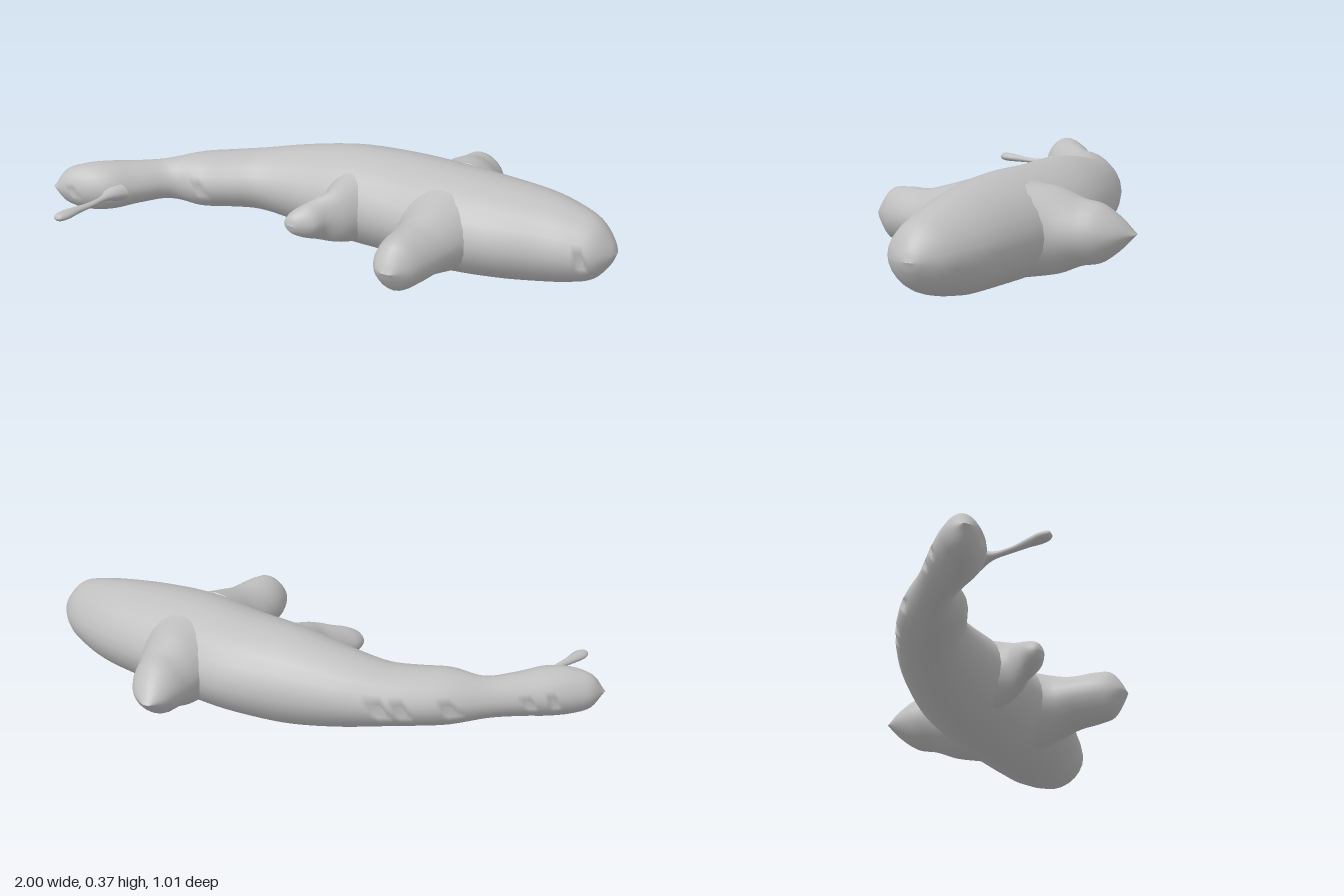
import * as THREE from 'three';

const MID = 0.186; // height of the horizontal symmetry plane
const SIDES = 24;

// Smooth closed loft. Each section is [x1, z1, x2, z2, halfHeight]: its two edges and its half height.
// Dents [x, z] pull the nearest edge vertex inwards.
function loft(name, sections, rings, material, dents = []) {
  const spline = (f) => new THREE.CatmullRomCurve3(sections.map(f), false, 'centripetal');
  const edgeA = spline(([x, z, , , h]) => new THREE.Vector3(x, h, z));
  const edgeB = spline(([, , x, z, h]) => new THREE.Vector3(x, h, z));
  const power = (v) => Math.sign(v) * Math.abs(v) ** 1.1;
  const points = [];
  const index = [];
  for (let i = 0; i <= rings; i++) {
    const a = edgeA.getPoint(i / rings);
    const b = edgeB.getPoint(i / rings);
    const h = Math.max(0, (a.y + b.y) / 2);
    for (let j = 0; j < SIDES; j++) {
      const t = (j / SIDES) * Math.PI * 2;
      const c = power(Math.cos(t));
      points.push(new THREE.Vector3(
        (a.x + b.x) / 2 + ((a.x - b.x) / 2) * c,
        MID + h * power(Math.sin(t)),
        (a.z + b.z) / 2 + ((a.z - b.z) / 2) * c));
      if (i === rings) continue;
      const k = i * SIDES + j;
      const n = i * SIDES + ((j + 1) % SIDES);
      index.push(k, k + SIDES, n, n, k + SIDES, n + SIDES);
    }
  }
  for (const [x, z] of dents) {
    const target = new THREE.Vector3(x, MID, z);
    let best = 0;
    points.forEach((p, k) => {
      if (p.distanceTo(target) < points[best].distanceTo(target)) best = k;
    });
    const ring = Math.floor(best / SIDES) * SIDES;
    const opposite = ring + ((best - ring + SIDES / 2) % SIDES);
    points[best].lerp(points[opposite], 0.2);
  }
  const geometry = new THREE.BufferGeometry().setFromPoints(points);
  geometry.setIndex(index);
  geometry.computeVertexNormals();
  const mesh = new THREE.Mesh(geometry, material);
  mesh.name = name;
  return mesh;
}

export function createModel() {
  const grey = new THREE.MeshStandardMaterial({ color: 0xbfbfbf });
  grey.name = 'plain grey';
  const group = new THREE.Group();
  group.name = 'fish';

  // Curved body, from the snout to the tail end
  const body = [
    [1.0, -0.02, 1.0, 0.0, 0],
    [0.985, -0.055, 0.985, 0.035, 0.04],
    [0.93, -0.12, 0.93, 0.095, 0.105],
    [0.85, -0.17, 0.85, 0.117, 0.135],
    [0.75, -0.21, 0.75, 0.13, 0.157],
    [0.6, -0.245, 0.6, 0.155, 0.173],
    [0.4, -0.28, 0.4, 0.16, 0.184],
    [0.2, -0.305, 0.22, 0.12, 0.18],
    [0.0, -0.29, 0.02, 0.085, 0.174],
    [-0.2, -0.25, -0.17, 0.052, 0.142],
    [-0.36, -0.197, -0.31, 0.045, 0.113],
    [-0.47, -0.148, -0.4, 0.075, 0.105],
    [-0.57, -0.09, -0.5, 0.11, 0.1],
    [-0.7, 0.01, -0.6, 0.11, 0.076],
    [-0.8, 0.075, -0.69, 0.185, 0.08],
    [-0.87, 0.12, -0.77, 0.262, 0.09],
    [-0.935, 0.17, -0.85, 0.295, 0.085],
    [-0.975, 0.21, -0.94, 0.3, 0.06],
    [-1.0, 0.275, -0.985, 0.29, 0],
  ];
  group.add(loft('body', body, 90, grey, [
    [0.9, 0.105], [-0.36, -0.197], [-0.42, -0.17], [-0.57, -0.09],
    [-0.8, 0.075], [-0.87, 0.12], [-0.5, 0.11], [-0.9, 0.3],
  ]));

  // Large paired side fins
  group.add(loft('rightSideFin', [
    [0.6, -0.16, 0.22, -0.16, 0.16],
    [0.535, -0.25, 0.265, -0.27, 0.143],
    [0.505, -0.33, 0.283, -0.34, 0.112],
    [0.48, -0.4, 0.295, -0.4, 0.098],
    [0.44, -0.46, 0.315, -0.46, 0.055],
    [0.375, -0.51, 0.35, -0.51, 0],
  ], 24, grey));
  group.add(loft('leftSideFin', [
    [0.23, 0.06, 0.58, 0.06, 0.15],
    [0.275, 0.15, 0.52, 0.16, 0.12],
    [0.272, 0.23, 0.49, 0.23, 0.1],
    [0.268, 0.31, 0.46, 0.31, 0.098],
    [0.278, 0.37, 0.43, 0.37, 0.088],
    [0.3, 0.41, 0.39, 0.41, 0.04],
    [0.33, 0.43, 0.36, 0.43, 0],
  ], 24, grey));

  // Small rear side fin, swept back
  group.add(loft('smallFin', [
    [-0.06, 0.0, 0.16, 0.04, 0.13],
    [-0.04, 0.09, 0.09, 0.12, 0.1],
    [-0.075, 0.145, 0.03, 0.165, 0.075],
    [-0.11, 0.185, 0.0, 0.21, 0.055],
    [-0.113, 0.22, -0.05, 0.235, 0.03],
    [-0.09, 0.238, -0.075, 0.24, 0],
  ], 24, grey));

  // Thin lower tail lobe
  group.add(loft('lowerTailLobe', [
    [-0.83, 0.23, -0.72, 0.23, 0.04],
    [-0.795, 0.29, -0.765, 0.29, 0.014],
    [-0.81, 0.36, -0.785, 0.36, 0.01],
    [-0.84, 0.42, -0.805, 0.42, 0.014],
    [-0.865, 0.47, -0.815, 0.47, 0.016],
    [-0.865, 0.495, -0.83, 0.495, 0.012],
    [-0.855, 0.502, -0.84, 0.502, 0],
  ], 24, grey));

  return group;
}
